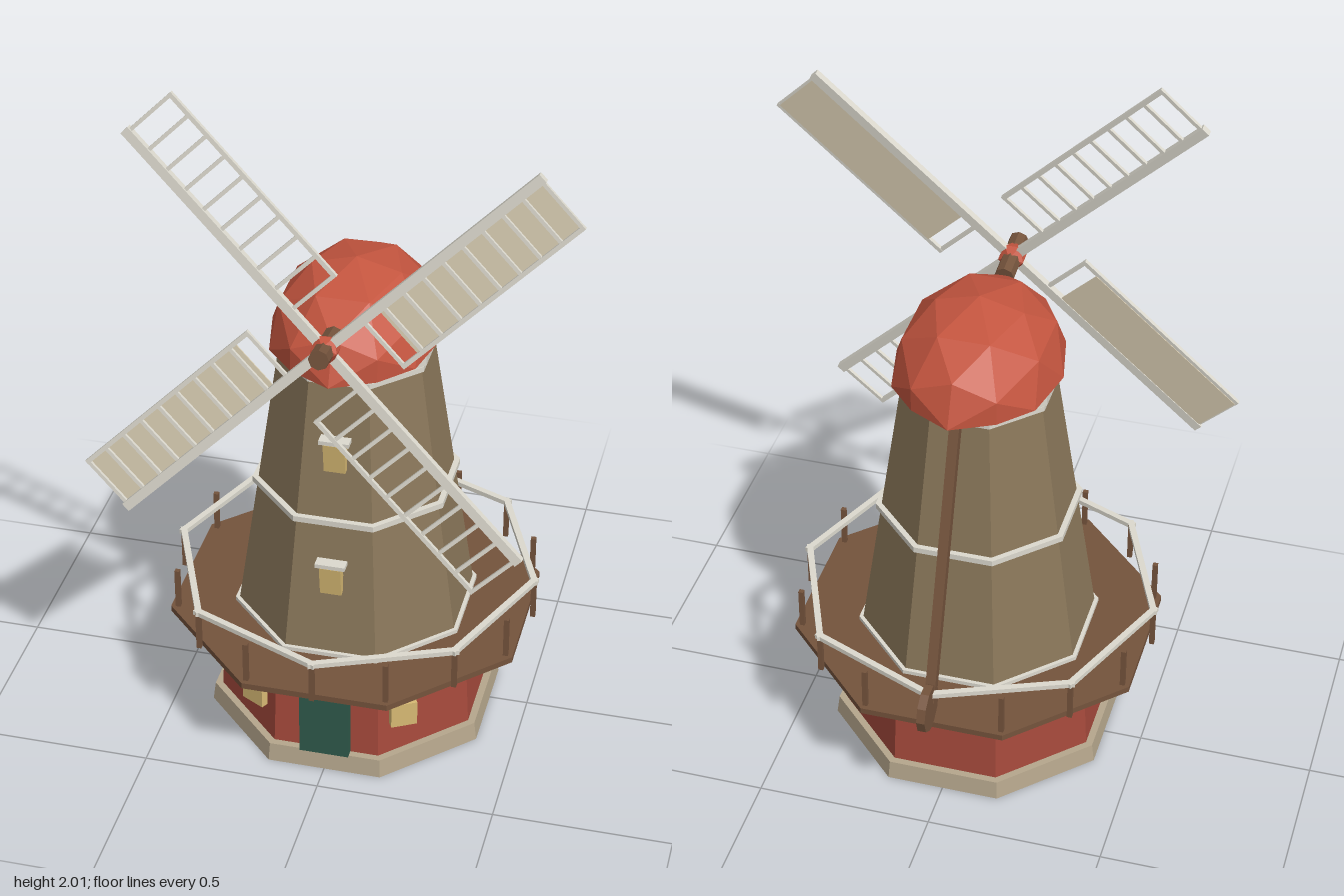
import * as THREE from 'three';

const mat = (color) => new THREE.MeshStandardMaterial({ color, flatShading: true });
const M = {
  stone: mat(0xb5a68c), brick: mat(0xa64a3c), wall: mat(0x8a775a), cap: mat(0xc4553f),
  wood: mat(0x74533c), trim: mat(0xdcd9ce), glass: mat(0xd8ba74), door: mat(0x2f5a4b),
  cloth: mat(0xd8ccb2),
};
const CZ = 0.033; // tower axis

function add(parent, name, geometry, material, x = 0, y = 0, z = 0) {
  const mesh = new THREE.Mesh(geometry, material);
  mesh.name = name;
  mesh.position.set(x, y, z);
  parent.add(mesh);
  return mesh;
}
const box = (parent, name, w, h, d, material, x, y, z) =>
  add(parent, name, new THREE.BoxGeometry(w, h, d), material, x, y, z);

// Octagonal tier with a flat side to the front, sized by distance to its flats
function tier(parent, name, y0, y1, bottom, top, material) {
  const k = 1 / Math.cos(Math.PI / 8);
  const g = new THREE.CylinderGeometry(top * k, bottom * k, y1 - y0, 8).rotateY(Math.PI / 8);
  return add(parent, name, g, material, 0, (y0 + y1) / 2, 0);
}

// One sail: spar along +y, lattice on its +x side
function sail(covered) {
  const g = new THREE.Group();
  g.name = covered ? 'coveredSail' : 'openSail';
  const w = 0.16, y0 = 0.135, y1 = 0.75, n = 10;
  box(g, 'spar', 0.026, 0.76, 0.02, M.trim, 0, 0.38, 0);
  box(g, 'latticeRail', 0.012, y1 - y0 + 0.01, 0.012, M.trim, w, (y0 + y1) / 2, 0);
  for (let i = 0; i < n; i++) {
    box(g, 'rung', w, 0.01, 0.01, M.trim, w / 2, y0 + ((y1 - y0) * i) / (n - 1), 0);
  }
  if (covered) box(g, 'sailCloth', w - 0.008, y1 - 0.185, 0.004, M.cloth, w / 2, (y1 + 0.185) / 2, -0.006);
  return g;
}

export function createModel() {
  const model = new THREE.Group();
  model.name = 'windmill';
  const body = new THREE.Group();
  body.name = 'body';
  body.position.z = CZ;
  model.add(body);

  // Tower tiers and bands
  tier(body, 'plinth', 0, 0.055, 0.39, 0.383, M.stone);
  tier(body, 'brickBase', 0.055, 0.335, 0.363, 0.348, M.brick);
  tier(body, 'deck', 0.33, 0.348, 0.493, 0.493, M.wood);
  tier(body, 'tower', 0.345, 1.2, 0.313, 0.195, M.wall);
  tier(body, 'lowerBand', 0.345, 0.36, 0.322, 0.322, M.trim);
  tier(body, 'middleBand', 0.753, 0.77, 0.27, 0.27, M.trim);
  tier(body, 'upperBand', 1.167, 1.183, 0.205, 0.205, M.trim);
  tier(body, 'capRing', 1.19, 1.23, 0.212, 0.212, M.trim);

  // Gallery posts and rail
  for (let i = 0; i < 16; i++) {
    const a = (i * Math.PI) / 8;
    box(body, 'railingPost', 0.014, 0.125, 0.014, M.wood, 0.512 * Math.sin(a), 0.408, 0.512 * Math.cos(a));
  }
  for (let i = 0; i < 8; i++) {
    const a = ((i + 0.5) * Math.PI) / 4, r = 0.512 * Math.cos(Math.PI / 8);
    box(body, 'handrail', 0.415, 0.014, 0.018, M.trim, r * Math.sin(a), 0.465, r * Math.cos(a)).rotation.y = a;
  }

  // Faceted cap: upper half of a stretched ball with a flat underside
  const dome = new THREE.IcosahedronGeometry(1, 1);
  const p = dome.attributes.position;
  for (let i = 0; i < p.count; i++) p.setY(i, Math.max(0, p.getY(i)));
  dome.scale(0.235, 0.222, 0.314);
  dome.computeVertexNormals();
  add(body, 'cap', dome, M.cap, 0, 1.225, 0);

  // Door and windows
  box(model, 'door', 0.14, 0.22, 0.03, M.door, 0, 0.165, 0.409);
  box(model, 'doorLintel', 0.165, 0.014, 0.03, M.trim, 0, 0.282, 0.409);
  for (const s of [-1, 1]) {
    box(model, 'groundWindow', 0.075, 0.075, 0.022, M.glass, s * 0.214, 0.197, 0.364).rotation.y = s * 0.5;
  }
  for (const [y, z] of [[0.595, 0.325], [0.965, 0.274]]) {
    box(model, 'towerWindow', 0.06, 0.09, 0.03, M.glass, 0, y, z).rotation.x = 0.12;
    box(model, 'windowLintel', 0.084, 0.012, 0.034, M.trim, 0, y + 0.05, z + 0.004);
  }

  // Tail pole and winding wheel
  const top = new THREE.Vector3(0, 1.25, -0.18), end = new THREE.Vector3(0, 0.43, -0.465);
  const dir = end.clone().sub(top);
  const pole = box(model, 'tailPole', 0.028, dir.length(), 0.028, M.wood);
  pole.position.copy(top).add(end).multiplyScalar(0.5);
  pole.rotation.x = Math.atan2(dir.z, dir.y) + Math.PI;
  add(model, 'tailWheel', new THREE.CylinderGeometry(0.068, 0.068, 0.024, 10).rotateZ(Math.PI / 2),
    M.wood, 0, 0.43, -0.492);

  // Tilted rotor: shaft, hub and four sails
  const rotor = new THREE.Group();
  rotor.name = 'rotor';
  rotor.position.set(0, 1.36, 0.37);
  rotor.rotation.x = -0.135;
  model.add(rotor);
  add(rotor, 'shaft', new THREE.CylinderGeometry(0.028, 0.028, 0.16, 8).rotateX(Math.PI / 2), M.wood, 0, 0, -0.008);
  add(rotor, 'hub', new THREE.IcosahedronGeometry(0.042, 0), M.cap);
  for (let i = 0; i < 4; i++) {
    const s = sail(i % 2 === 1);
    s.rotation.z = Math.PI / 4 + (i * Math.PI) / 2;
    rotor.add(s);
  }
  return model;
}
